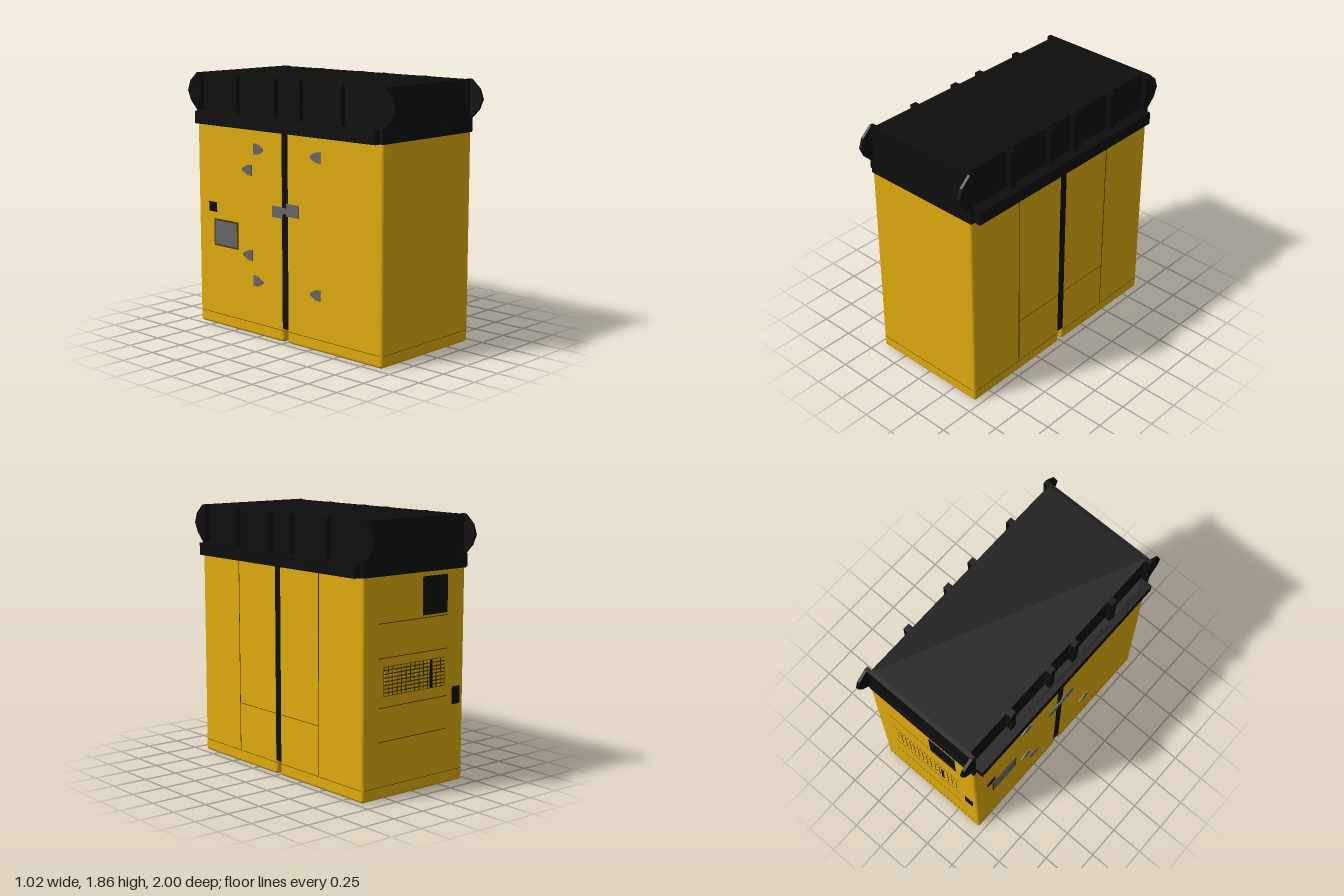
import * as THREE from 'three';
import { RoundedBoxGeometry } from 'three/addons/geometries/RoundedBoxGeometry.js';

const mat = (color) => new THREE.MeshStandardMaterial({ color });

export function createModel() {
  const model = new THREE.Group();
  const yellow = mat(0xdfab0e), black = mat(0x0d0d0d), seam = mat(0x4a3804), grey = mat(0x666666);

  const add = (name, geometry, material, parent = model) => {
    const mesh = new THREE.Mesh(geometry, material);
    mesh.name = name;
    parent.add(mesh);
    return mesh;
  };
  // Box given by its minimum and maximum on each axis
  const box = (name, x0, x1, y0, y1, z0, z1, material, parent) => {
    const mesh = add(name, new THREE.BoxGeometry(x1 - x0, y1 - y0, z1 - z0), material, parent);
    mesh.position.set((x0 + x1) / 2, (y0 + y1) / 2, (z0 + z1) / 2);
    return mesh;
  };
  // Plate outlined in (z, y), with thickness along x, starting at x0
  const sidePlate = (name, points, x0, thickness, material, parent) => {
    const shape = new THREE.Shape(points.map(([z, y]) => new THREE.Vector2(z, y)));
    const geometry = new THREE.ExtrudeGeometry(shape, { depth: thickness, bevelEnabled: false });
    geometry.rotateY(-Math.PI / 2);
    geometry.translate(x0 + thickness, 0, 0);
    return add(name, geometry, material, parent);
  };

  // Two cabinet halves with a dark filler in the gap
  for (const s of [1, -1]) {
    const half = add(s > 0 ? 'frontCabinet' : 'backCabinet', new RoundedBoxGeometry(0.92, 1.52, 0.882, 4, 0.022), yellow);
    half.position.set(0, 0.76, s * 0.459);
  }
  box('gapFiller', -0.457, 0.457, 0.1, 1.5, -0.03, 0.03, black);

  // Seams around the base and on the left panels
  const seams = new THREE.Group();
  seams.name = 'panelSeams';
  model.add(seams);
  const t = 0.003, e = 0.001;
  for (const s of [1, -1]) {
    box('baseSeam', s * 0.46 - e, s * 0.46 + e, 0.085, 0.085 + t, -0.88, -0.02, seam, seams);
    box('baseSeam', s * 0.46 - e, s * 0.46 + e, 0.085, 0.085 + t, 0.02, 0.88, seam, seams);
    box('baseSeam', -0.44, 0.44, 0.085, 0.085 + t, s * 0.9 - e, s * 0.9 + e, seam, seams);
    box('doorSeam', 0.46 - e, 0.46 + e, 0.09, 1.49, s * 0.45 - 0.003, s * 0.45 + 0.003, seam, seams);
    box('lowerDoorSeam', 0.46 - e, 0.46 + e, 0.44, 0.444, s > 0 ? 0.02 : -0.45, s > 0 ? 0.45 : -0.02, seam, seams);
  }
  for (const y of [0.39, 0.62, 0.95, 1.18])
    box('backSeam', -0.3, 0.325, y, y + 0.005, -0.9 - e, -0.9 + e, seam, seams);

  // Roof: recessed core, solid ends, gutters and side ribs
  const roof = new THREE.Group();
  roof.name = 'roof';
  model.add(roof);
  box('roofCore', -0.42, 0.42, 1.49, 1.855, -0.9, 0.9, black, roof);
  box('roofBase', -0.462, 0.462, 1.49, 1.58, -0.902, 0.902, black, roof);
  const ear = [[0.87, 1.58], [0.9, 1.58], [0.97, 1.65], [1, 1.72], [0.975, 1.79], [0.9, 1.855], [0.87, 1.855]];
  for (const s of [1, -1]) {
    box('gutter', Math.min(s * 0.45, s * 0.51), Math.max(s * 0.45, s * 0.51), 1.49, 1.58, -0.87, 0.87, black, roof);
    box('roofEnd', -0.445, 0.445, 1.58, 1.855, s * 0.885 - 0.015, s * 0.885 + 0.015, black, roof);
    for (const x of [-0.46, 0.44])
      sidePlate('cornerEar', ear.map(([z, y]) => [s * z, y]), x, 0.02, black, roof);
    for (const z of [-0.505, -0.12, 0.12, 0.505])
      box('roofRib', s * 0.435 - 0.025, s * 0.435 + 0.025, 1.57, 1.853, z - 0.025, z + 0.025, black, roof);
  }

  // Back window with a raised frame
  box('windowPane', -0.28, -0.075, 1.21, 1.45, -0.902, -0.895, black);
  for (const x of [-0.29, -0.08]) box('windowFrame', x, x + 0.015, 1.2, 1.46, -0.906, -0.89, black);
  for (const y of [1.2, 1.445]) box('windowFrame', -0.29, -0.065, y, y + 0.015, -0.906, -0.89, black);

  // Back ventilation grille: yellow cells over a dark panel
  const grille = new THREE.Group();
  grille.name = 'ventGrille';
  model.add(grille);
  box('grilleBacking', -0.275, 0.28, 0.695, 0.895, -0.901, -0.895, seam, grille);
  const cols = 14, rows = 8, w = 0.555 / cols, h = 0.2 / rows;
  for (let i = 0; i < cols; i++)
    for (let j = 0; j < rows; j++) {
      const x = -0.275 + i * w, y = 0.695 + j * h;
      box('grilleCell', x + 0.004, x + w - 0.004, y + 0.004, y + h - 0.004, -0.902, -0.895, yellow, grille);
    }
  box('grilleBar', -0.16, -0.135, 0.7, 0.89, -0.903, -0.895, black, grille);

  // Back door handle
  const handle = add('backHandle', new RoundedBoxGeometry(0.08, 0.13, 0.03, 3, 0.014), black);
  handle.position.set(-0.385, 0.615, -0.892);

  // Pointed latches on the right side: [z, y, pointing direction]
  for (const [z, y, d] of [[-0.26, 1.35, 1], [-0.37, 1.195, -1], [0.3, 1.35, -1],
    [-0.37, 0.58, -1], [-0.27, 0.4, 1], [0.3, 0.4, -1]])
    sidePlate('latch', [[z - d * 0.045, y - 0.04], [z - d * 0.045, y + 0.04], [z, y + 0.035],
      [z + d * 0.05, y + 0.008], [z + d * 0.05, y - 0.008], [z, y - 0.035]], -0.467, 0.012, grey);

  // Central clasp bridging the gap
  box('claspPlate', -0.466, -0.455, 0.89, 0.97, -0.12, -0.02, grey);
  box('claspPlate', -0.466, -0.455, 0.91, 1.0, 0.02, 0.14, grey);
  box('claspBar', -0.468, -0.455, 0.925, 0.965, -0.08, 0.09, grey);

  // Right side control box and display
  box('controlBox', -0.466, -0.45, 0.85, 0.92, -0.78, -0.7, black);
  box('displayFrame', -0.463, -0.45, 0.6, 0.8, -0.73, -0.475, seam);
  box('display', -0.465, -0.45, 0.612, 0.788, -0.718, -0.487, grey);

  return model;
}
